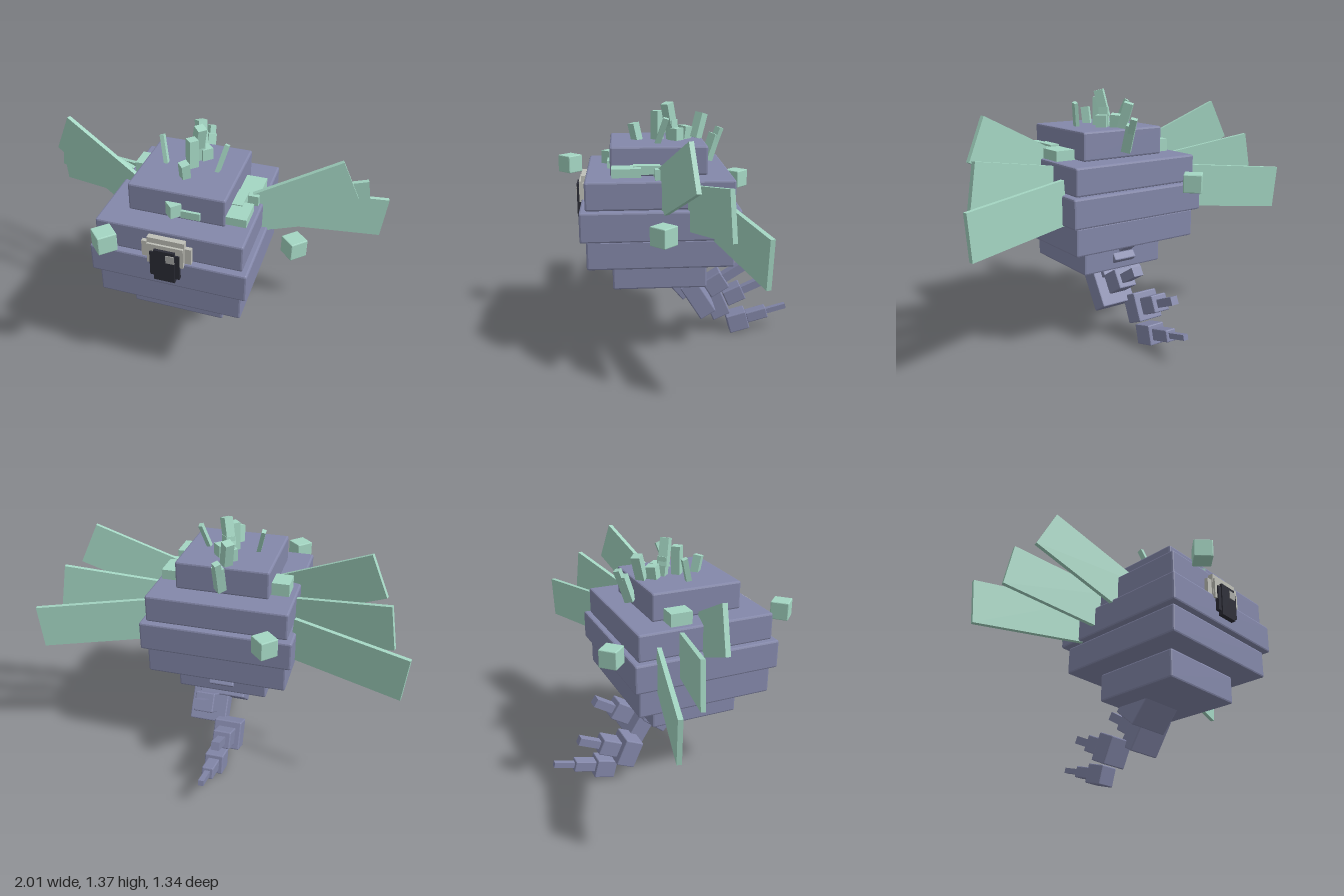
import * as THREE from 'three';
import { RoundedBoxGeometry } from 'three/addons/geometries/RoundedBoxGeometry.js';

const rad = THREE.MathUtils.degToRad;

export function createModel() {
  const mat = (name, color) => {
    const m = new THREE.MeshStandardMaterial({ color });
    m.name = name;
    return m;
  };
  const stone = mat('slateBlue', 0x8488aa);
  const moss = mat('mintGreen', 0xa4d6c3);
  const pale = mat('paleGrey', 0xbfc0b8);
  const dark = mat('nearBlack', 0x2b2c36);
  const glint = mat('glintGrey', 0xa9aaa8);

  const model = new THREE.Group();
  model.name = 'floatingCreature';

  // Box with optional chamfered edges; rotation in degrees
  function box(name, material, size, pos, rot = [0, 0, 0], bevel = 0, parent = model) {
    const geo = bevel
      ? new RoundedBoxGeometry(...size, 1, bevel)
      : new THREE.BoxGeometry(...size);
    if (bevel) geo.computeVertexNormals(); // flat chamfers
    const mesh = new THREE.Mesh(geo, material);
    mesh.name = name;
    mesh.position.set(...pos);
    mesh.rotation.set(rad(rot[0]), rad(rot[1]), rad(rot[2]), 'YXZ');
    parent.add(mesh);
    return mesh;
  }

  // Box given by its minimum and maximum corners
  function span(name, material, a, b, bevel = 0) {
    return box(name, material, a.map((v, i) => b[i] - v), a.map((v, i) => (v + b[i]) / 2), [0, 0, 0], bevel);
  }

  // Stepped body: half width, bottom, top
  [
    [0.255, 0.395, 0.555], [0.385, 0.555, 0.71], [0.415, 0.71, 0.87],
    [0.385, 0.87, 1.02], [0.255, 1.02, 1.175],
  ].forEach(([h, y0, y1], i) =>
    span('bodyLayer' + (i + 1), stone, [-h, y0, 0.103 - h], [h, y1, 0.103 + h], 0.01));

  // Eye: stepped pale socket, dark pupil and glint
  span('eyeSocketWide', pale, [-0.13, 0.86, 0.48], [0.13, 0.96, 0.51]);
  span('eyeSocketTall', pale, [-0.097, 0.86, 0.48], [0.097, 0.995, 0.518]);
  span('eyeball', pale, [-0.095, 0.85, 0.48], [0.095, 0.965, 0.53]);
  span('pupilWide', dark, [-0.078, 0.78, 0.5], [0.078, 0.925, 0.538]);
  span('pupilTall', dark, [-0.055, 0.758, 0.5], [0.055, 0.943, 0.545]);
  span('eyeGlint', glint, [0.01, 0.88, 0.544], [0.055, 0.925, 0.549]);

  // Wings: three fanned blades per side; tip centre and upward tilt
  const wingLength = 0.62;
  for (const side of [1, -1]) {
    const wing = new THREE.Group();
    wing.name = side > 0 ? 'leftWing' : 'rightWing';
    model.add(wing);
    for (const [x, y, z, tilt] of [[0.8, 1.17, -0.025, 25], [0.9, 0.972, -0.185, 10], [0.99, 0.775, -0.335, -5]]) {
      const t = rad(tilt), yaw = rad(15), h = wingLength / 2;
      box('wingBlade', moss, [wingLength, 0.24, 0.024],
        [side * (x - h * Math.cos(t) * Math.cos(yaw)), y - h * Math.sin(t), z + h * Math.cos(t) * Math.sin(yaw)],
        [0, side * 15, side * tilt], 0, wing);
    }
  }

  // Loose cubes hovering round the body
  for (const p of [[-0.285, 0.995, 0.6], [0.565, 0.79, 0.1], [-0.29, 0.89, -0.39]])
    box('hoveringCube', moss, [0.1, 0.1, 0.1], p, [0, 45, 0], 0.005);

  // Moss patches round the foot of the top layer
  span('mossPatch', moss, [0.25, 1.015, -0.06], [0.365, 1.075, 0.13]);
  span('mossPatch', moss, [0.25, 1.04, 0.1], [0.31, 1.085, 0.24]);
  span('mossPatch', moss, [0.25, 1.035, 0.2], [0.36, 1.08, 0.35]);
  span('mossPatch', moss, [-0.35, 1.015, -0.09], [-0.25, 1.09, 0.03]);
  span('mossPatch', moss, [0.03, 1.04, 0.35], [0.13, 1.08, 0.374]);
  box('mossLump', moss, [0.06, 0.07, 0.06], [-0.01, 1.08, 0.365], [0, 45, 0]);

  // Crest sprigs: x, y, z, width, height, lean back, sideways lean
  [
    [0, 1.215, 0.22, 0.045, 0.1, 12, 0],
    [0, 1.25, 0.1, 0.05, 0.16, 0, 0],
    [0.01, 1.22, 0.02, 0.05, 0.12, 5, 0],
    [0.015, 1.3, 0.035, 0.05, 0.15, 10, -10],
    [0.04, 1.2, 0, 0.06, 0.08, 0, 0],
    [-0.02, 1.2, -0.05, 0.06, 0.09, -8, 0],
    [-0.025, 1.245, -0.13, 0.05, 0.14, -15, 8],
    [0, 1.13, -0.195, 0.05, 0.15, -18, 0],
    [0, 1.185, -0.225, 0.035, 0.11, -20, 0],
  ].forEach(([x, y, z, w, h, lean, roll]) => {
    const pivot = new THREE.Group();
    pivot.name = 'crestSprig';
    pivot.position.set(x, y, z);
    pivot.rotation.set(rad(lean), 0, rad(roll));
    model.add(pivot);
    box('sprig', moss, [w, h, w], [0, 0, 0], [0, 45, 0], 0, pivot);
  });
  for (const s of [1, -1])
    box('antenna', moss, [0.022, 0.16, 0.03], [s * 0.155, 1.235, 0.085], [-18, 0, -s * 14]);

  // Tail: each segment has a vertebra, a fin block and a fin tip
  // x, pitch, then [width, height, depth, y, z] for each block
  [
    [0, 40, [0.255, 0.28, 0.16, 0.43, -0.005], [0.14, 0.16, 0.1, 0.487, -0.09], [0.08, 0.06, 0.12, 0.565, -0.2]],
    [0.07, 32, [0.21, 0.225, 0.1, 0.29, -0.115], [0.11, 0.11, 0.12, 0.357, -0.22], [0.06, 0.05, 0.13, 0.417, -0.323]],
    [-0.067, 24, [0.155, 0.16, 0.11, 0.183, -0.245], [0.1, 0.095, 0.115, 0.23, -0.352], [0.045, 0.045, 0.13, 0.277, -0.463]],
    [-0.028, 15, [0.105, 0.11, 0.12, 0.075, -0.372], [0.065, 0.065, 0.125, 0.109, -0.488], [0.03, 0.03, 0.125, 0.141, -0.603]],
  ].forEach(([x, pitch, ...blocks], i) => {
    const segment = new THREE.Group();
    segment.name = 'tailSegment' + (i + 1);
    model.add(segment);
    blocks.forEach(([w, h, d, y, z], k) =>
      box(['vertebra', 'finBlock', 'finTip'][k], stone, [w, h, d], [x, y, z], [pitch, 0, 0], k < 2 ? 0.006 : 0, segment));
  });

  return model;
}
